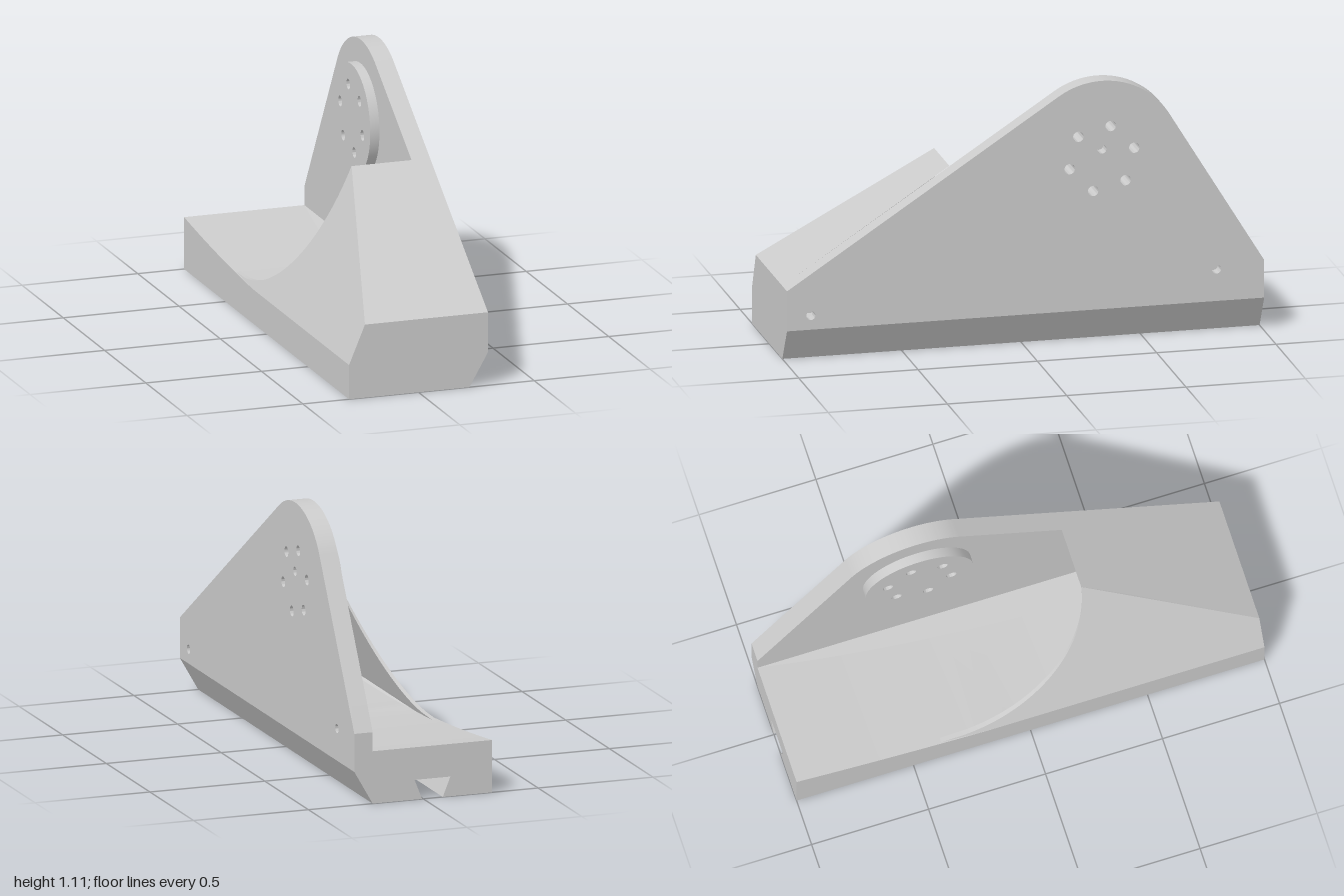
import * as THREE from 'three';
import { toCreasedNormals } from 'three/addons/utils/BufferGeometryUtils.js';

const HUB = { u: 0.32, y: 0.78 }; // hub axis, u = -z
const material = new THREE.MeshStandardMaterial({ color: 0xcccccc, side: THREE.DoubleSide });

function part(name, geometry) {
  const mesh = new THREE.Mesh(geometry, material);
  mesh.name = name;
  return mesh;
}

// Side profile drawn in (u = -z, y), extruded along +x from x0
function fromSide(shape, x0, depth) {
  const geo = new THREE.ExtrudeGeometry(shape, { depth, bevelEnabled: false, curveSegments: 32 });
  geo.rotateY(Math.PI / 2).translate(x0, 0, 0);
  return geo;
}

function addHole(shape, u, y, r) {
  shape.holes.push(new THREE.Path().absarc(u, y, r, 0, Math.PI * 2, true));
}

function addBoltHoles(shape) {
  for (let i = 0; i < 6; i++) {
    const a = 0.26 + i * Math.PI / 3;
    addHole(shape, HUB.u + 0.14 * Math.cos(a), HUB.y + 0.14 * Math.sin(a), 0.022);
  }
}

const slopeX = y => -0.3 + (y - 0.145) * 0.416;             // leaning outer wall
const floorY = z => 0.13 + 0.09 * ((z - 0.4) / 1.4) ** 2;   // curved pocket floor

// Base cross-section: dovetail slot below, pocket floor above
function baseSection(z, slot) {
  const f = floorY(z);
  const g = slot ? [0.078, 0.083] : [0.045, 0];
  return [
    [-0.3, 0], [-0.085, 0], [-0.04 - g[0], g[1]], [-0.04 + g[0], g[1]], [0.005, 0], [0.22, 0],
    [0.3, 0.14], [0.22, 0.22], [Math.min(f, 0.219), f], [-0.28, f], [-0.3, Math.max(f, 0.145)],
  ].map(([x, y]) => new THREE.Vector3(x, y, z));
}

function baseGeometry() {
  const sections = [];
  for (let i = 0; i <= 24; i++) sections.push(baseSection(-1 + 1.83 * i / 24, true));
  sections.push(baseSection(0.83, false), baseSection(0.93, false));
  const pos = [];
  const tri = (...v) => v.forEach(p => pos.push(p.x, p.y, p.z));
  for (let s = 0; s < sections.length - 1; s++) {
    const a = sections[s], b = sections[s + 1];
    a.forEach((p, i) => {
      const j = (i + 1) % a.length;
      tri(p, a[j], b[j]);
      tri(p, b[j], b[i]);
    });
  }
  const first = sections[0], last = sections[sections.length - 1];
  const flat = s => s.map(p => new THREE.Vector2(p.x, p.y));
  for (const [i, j, k] of THREE.ShapeUtils.triangulateShape(flat(first), [])) tri(first[i], first[k], first[j]);
  for (const [i, j, k] of THREE.ShapeUtils.triangulateShape(flat(last), [])) tri(last[i], last[j], last[k]);
  const geo = new THREE.BufferGeometry();
  geo.setAttribute('position', new THREE.Float32BufferAttribute(pos, 3));
  return toCreasedNormals(geo, 0.3);
}

export function createModel() {
  const group = new THREE.Group();

  group.add(part('base', baseGeometry()));

  // Upright plate with rounded top
  const plate = new THREE.Shape();
  plate.moveTo(-1, 0.14);
  plate.lineTo(1, 0.14);
  plate.lineTo(1, 0.3);
  plate.absarc(HUB.u, HUB.y, 0.33, 0.549, 2.153, false);
  plate.lineTo(-1, 0.31);
  plate.closePath();
  addBoltHoles(plate);
  const blind = [[0.32, 0.82], [0.8, 0.275], [-0.9, 0.2]];
  blind.forEach(([u, y]) => addHole(plate, u, y, 0.019));
  group.add(part('sidePlate', toCreasedNormals(fromSide(plate, 0.22, 0.08), 0.4)));

  // Closed bottoms of the blind holes
  for (const [u, y] of blind) {
    const plug = new THREE.Shape().absarc(u, y, 0.019, 0, Math.PI * 2, false);
    group.add(part('holeBottom', fromSide(plug, 0.22, 0.025)));
  }

  // Mounting disc on the inner face
  const disc = new THREE.Shape().absarc(HUB.u, HUB.y, 0.23, 0, Math.PI * 2, false);
  addBoltHoles(disc);
  group.add(part('mountingDisc', toCreasedNormals(fromSide(disc, 0.18, 0.04), 0.4)));

  // Leaning cover wall, cut by a circle about the hub
  const wall = new THREE.Shape();
  wall.moveTo(-1, 0.145);
  wall.lineTo(0.38, 0.145);
  wall.lineTo(0.38, 0.158);
  wall.absarc(HUB.u, HUB.y, 0.62, -Math.PI / 2, -Math.PI + 0.016, true);
  wall.lineTo(-0.3, 0.77);
  wall.lineTo(-1, 0.31);
  wall.closePath();
  const wallGeo = fromSide(wall, 0, 0.02);
  const p = wallGeo.attributes.position;
  for (let i = 0; i < p.count; i++) {
    const taper = 1 - Math.max(0, p.getY(i) - 0.16) / 0.65;
    p.setX(i, slopeX(p.getY(i)) + p.getX(i) * taper);
  }
  group.add(part('coverWall', toCreasedNormals(wallGeo, 0.4)));

  // Sloping cover roof, thin sheet
  const roof = new THREE.BufferGeometry();
  roof.setAttribute('position', new THREE.Float32BufferAttribute([
    slopeX(0.77), 0.77, 0.3, slopeX(0.31), 0.31, 1, 0.22, 0.31, 1, 0.22, 0.77, 0.3,
  ], 3));
  roof.setIndex([0, 1, 2, 0, 2, 3]);
  roof.computeVertexNormals();
  group.add(part('coverRoof', roof));

  // Front end block
  const end = new THREE.Shape([
    [-0.3, 0], [0.22, 0], [0.3, 0.14], [0.3, 0.31], [slopeX(0.31), 0.31], [-0.3, 0.145],
  ].map(([x, y]) => new THREE.Vector2(x, y)));
  group.add(part('frontBlock',
    new THREE.ExtrudeGeometry(end, { depth: 0.07, bevelEnabled: false }).translate(0, 0, 0.93)));

  return group;
}
